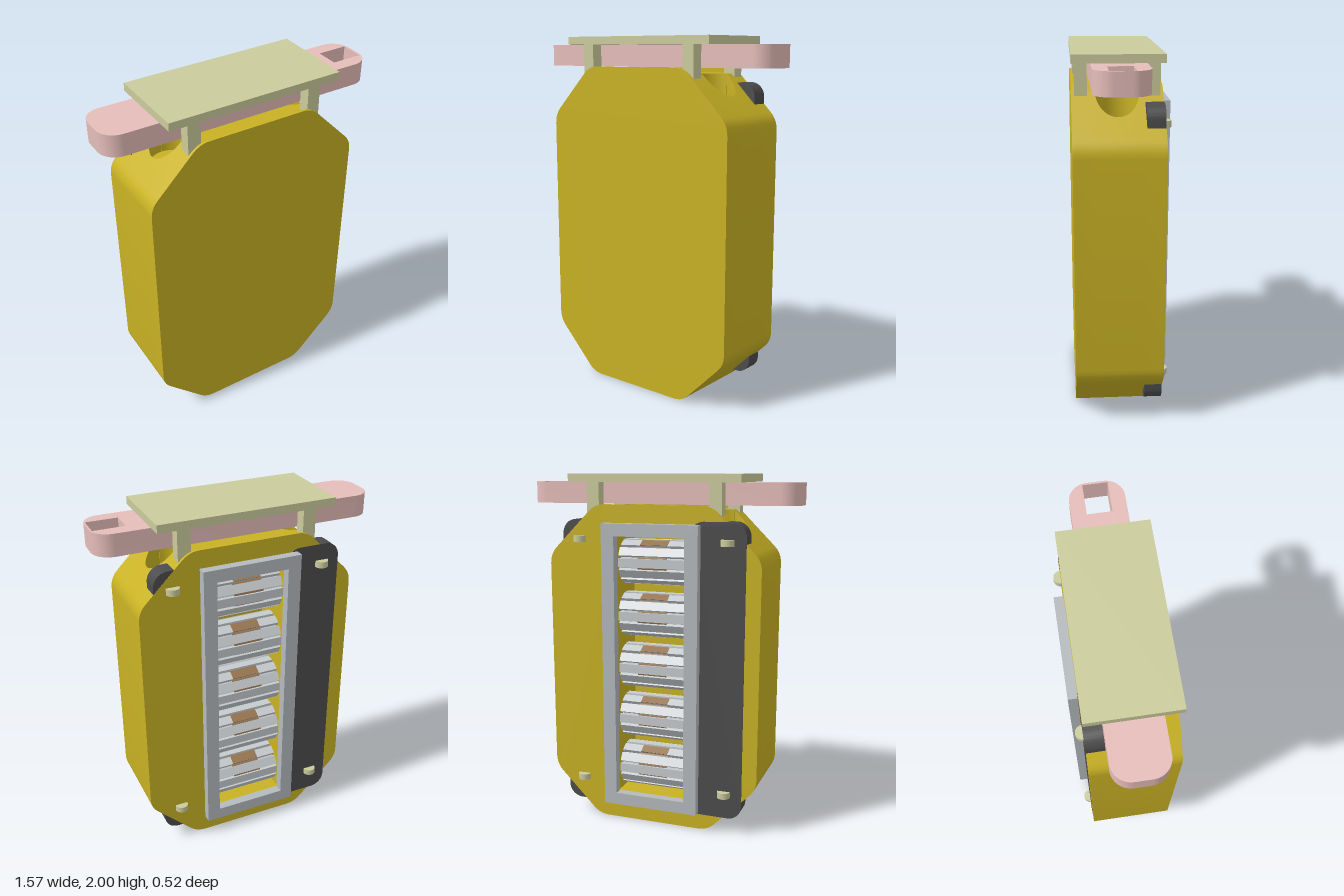
import * as THREE from 'three';
import { toCreasedNormals } from 'three/addons/utils/BufferGeometryUtils.js';

const mat = (name, color) => {
  const m = new THREE.MeshStandardMaterial({ color });
  m.name = name;
  return m;
};

export function createModel() {
  const yellow = mat('yellow', 0xc9b224);
  const olive = mat('olive', 0xcbcb9d);
  const pink = mat('pink', 0xe5bdb9);
  const dark = mat('darkGrey', 0x4c4c4d);
  const grey = mat('frameGrey', 0xb5babd);
  const steel = mat('steel', 0xc6cbce);
  const brown = mat('brown', 0x96744f);

  const model = new THREE.Group();
  const add = (name, geo, material, x = 0, y = 0, z = 0, parent = model) => {
    const mesh = new THREE.Mesh(geo, material);
    mesh.name = name;
    mesh.position.set(x, y, z);
    parent.add(mesh);
    return mesh;
  };
  const box = (w, h, d) => new THREE.BoxGeometry(w, h, d);
  const extrude = (shape, depth) => toCreasedNormals(
    new THREE.ExtrudeGeometry(shape, { depth, bevelEnabled: false, curveSegments: 8 }), 0.6);

  const V = (x, y) => new THREE.Vector2(x, y);
  const rectPoints = (x0, y0, x1, y1) => [V(x0, y0), V(x1, y0), V(x1, y1), V(x0, y1)];
  const rectHole = (...r) => new THREE.Path(rectPoints(...r).reverse());
  const rectShape = (...r) => new THREE.Shape(rectPoints(...r));
  const roundRect = (w, h, r) => {
    const s = new THREE.Shape(), a = w / 2, b = h / 2;
    s.absarc(a - r, b - r, r, 0, Math.PI / 2);
    s.absarc(-a + r, b - r, r, Math.PI / 2, Math.PI);
    s.absarc(-a + r, -b + r, r, Math.PI, Math.PI * 1.5);
    s.absarc(a - r, -b + r, r, Math.PI * 1.5, Math.PI * 2);
    s.closePath();
    return s;
  };

  // Octagonal case outline, corners softened; right half from bottom to top
  const soften = (prev, p, next) => {
    const toward = q => p.clone().add(q.clone().sub(p).setLength(0.055));
    return new THREE.QuadraticBezierCurve(toward(prev), p, toward(next)).getPoints(5);
  };
  const corners = [V(-0.335, 0), V(0.335, 0), V(0.617, 0.282), V(0.617, 1.553), V(0.335, 1.835), V(-0.335, 1.835)];
  const half = [1, 2, 3, 4].map(i => soften(corners[i - 1], corners[i], corners[i + 1]));
  const mirrored = pts => [...pts, ...pts.map(p => V(-p.x, p.y)).reverse()];
  const fullOutline = mirrored(half.flat());

  // Middle of the case: lowered top, with a round well sunk into each upper slope
  const wellX = 0.37, wellZ = 0.025, wellR = 0.113, wellFloor = 1.62;
  const midOutline = w => mirrored([
    ...half.slice(0, 3).flat(),
    V(wellX + w, 2.17 - wellX - w), V(wellX + w, wellFloor),
    V(wellX - w, wellFloor), V(wellX - w, 1.8)]);
  const slices = [{ z: -0.198, w: 0.001 }];
  for (let i = 0; i <= 20; i++) {
    const a = Math.PI * i / 20;
    slices.push({ z: wellZ - wellR * Math.cos(a), w: Math.max(wellR * Math.sin(a), 0.001) });
  }
  slices.push({ z: 0.246, w: 0.001 });
  const rings = slices.map(s => midOutline(s.w).map(p => [p.x, p.y, s.z]));
  const pos = [];
  for (let k = 0; k < rings.length - 1; k++) {
    const n = rings[k].length;
    for (let i = 0; i < n; i++) {
      const j = (i + 1) % n;
      const [a, b, c, d] = [rings[k][i], rings[k][j], rings[k + 1][j], rings[k + 1][i]];
      pos.push(...a, ...b, ...c, ...a, ...c, ...d);
    }
  }
  const midGeo = new THREE.BufferGeometry();
  midGeo.setAttribute('position', new THREE.Float32BufferAttribute(pos, 3));
  add('caseMiddle', toCreasedNormals(midGeo, 0.6), yellow);

  // Front and back walls stand above the lowered top
  add('caseFront', extrude(new THREE.Shape(fullOutline), 0.015), yellow, 0, 0, 0.246);
  const back = new THREE.Shape(fullOutline);
  back.holes.push(rectHole(-0.21, 0.17, 0.21, 1.665));
  add('caseBack', extrude(back, 0.015), yellow, 0, 0, -0.213);

  // Pocket behind the window: four walls and a floor
  const walls = rectShape(-0.22, 0.16, 0.22, 1.675);
  walls.holes.push(rectHole(-0.21, 0.17, 0.21, 1.665));
  add('pocketWalls', extrude(walls, 0.25), yellow, 0, 0, -0.2);
  add('pocketFloor', box(0.44, 1.515, 0.01), yellow, 0, 0.9175, 0.055);

  // Dark mounting blocks at the corners, dark panel on one side, lugs
  for (const sx of [-1, 1]) {
    for (const top of [0, 1]) {
      add('cornerMount', extrude(roundRect(0.3, 0.3, 0.08), 0.096), dark,
        sx * 0.383, top ? 1.602 : 0.24, -0.2125);
      add('lug', new THREE.CylinderGeometry(0.037, 0.037, 0.035, 20), olive,
        sx * 0.43, top ? 1.643 : 0.232, -0.215);
    }
  }
  add('sidePanel', extrude(roundRect(0.315, 1.662, 0.08), 0.002), dark, -0.3755, 0.921, -0.2145);

  // Window frame
  const frame = rectShape(-0.28, 0.1, 0.28, 1.735);
  frame.holes.push(rectHole(-0.205, 0.17, 0.205, 1.665));
  add('windowFrame', extrude(frame, 0.053), grey, 0, 0, -0.264);

  // Five slatted drums across the window, brown showing between the slats
  const coreGeo = new THREE.CylinderGeometry(0.108, 0.108, 0.37, 28).rotateZ(Math.PI / 2);
  const bandGeo = new THREE.CylinderGeometry(0.117, 0.117, 0.17, 28).rotateZ(Math.PI / 2);
  const slatGeo = box(0.39, 0.05, 0.022);
  const patchGeo = box(0.16, 0.05, 0.006);
  for (let i = 0; i < 5; i++) {
    const drum = new THREE.Group();
    drum.name = 'drum';
    drum.position.set(0, 0.9175 + (i - 2) * 0.3, -0.1);
    add('drumCore', coreGeo, steel, 0, 0, 0, drum);
    add('drumBand', bandGeo, brown, 0, 0, 0, drum);
    const onRim = (name, geo, material, a, r) => {
      add(name, geo, material, 0, -Math.sin(a) * r, Math.cos(a) * r, drum).rotation.x = a;
    };
    for (let k = 0; k < 12; k++) onRim('drumSlat', slatGeo, steel, k / 12 * Math.PI * 2, 0.114);
    onRim('drumPatch', patchGeo, brown, Math.PI * 4 / 3, 0.124);
    model.add(drum);
  }

  // Sliding handle with a slot at one end
  const handle = roundRect(1.566, 0.285, 0.1);
  handle.holes.push(rectHole(0.6, -0.066, 0.772, 0.064));
  add('handle', extrude(handle, 0.12).rotateX(-Math.PI / 2), pink, 0, 1.835, 0.0225);

  // Top plate on four legs
  add('topPlate', box(0.995, 0.044, 0.474), olive, 0, 1.978, 0.024);
  for (const x of [-0.354, 0.354]) {
    for (const z of [-0.164, 0.212]) {
      add('plateLeg', box(0.072, 0.18, 0.066), olive, x, 1.868, z);
    }
  }
  return model;
}
